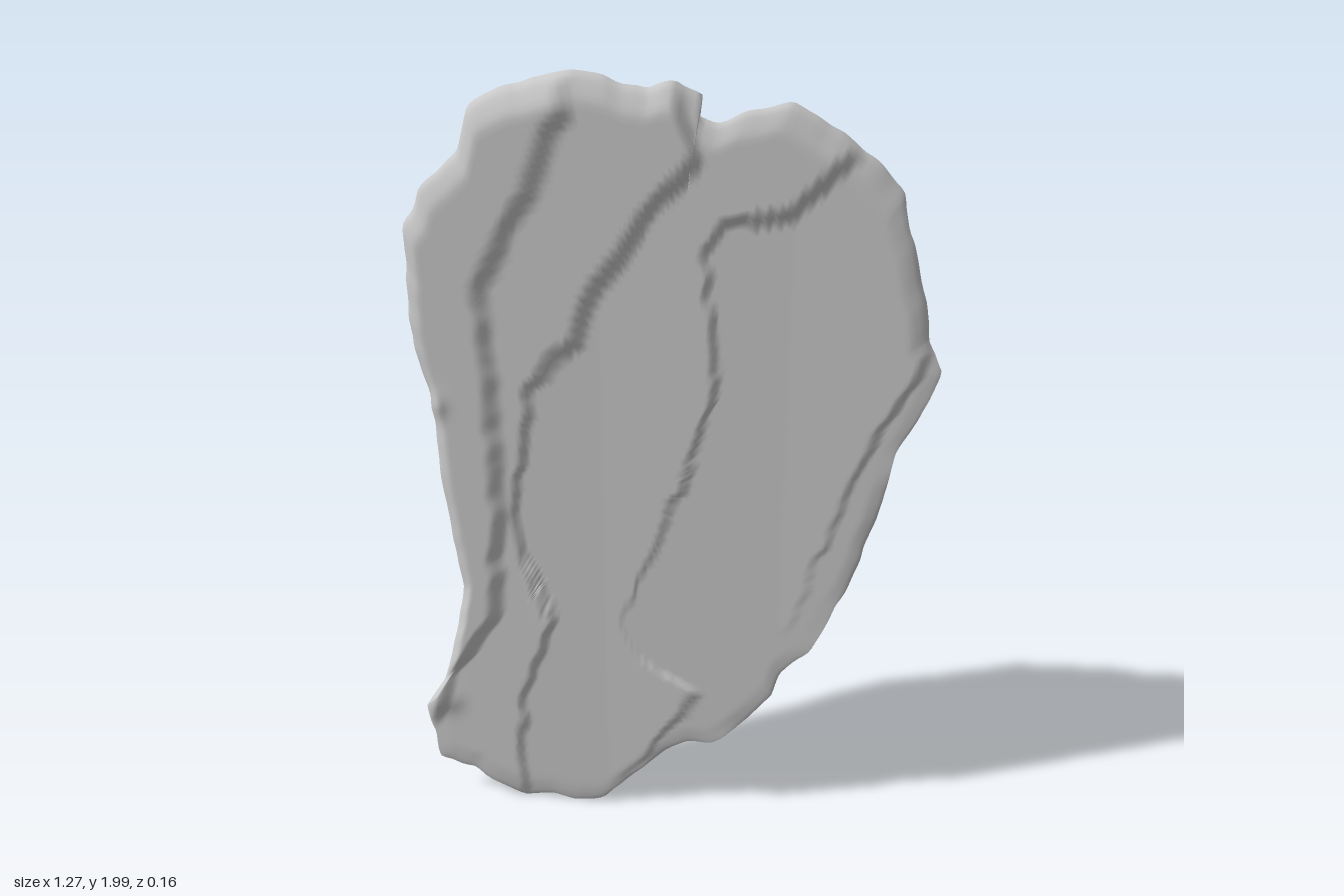
import * as THREE from 'three';

// Outline of the slab, counter-clockwise from the bottom (x, y)
const OUTLINE = [
  [-0.38, 0], [-0.3, 0.015], [-0.24, 0], [-0.16, 0.02], [-0.08, 0.1], [0, 0.19], [0.06, 0.23], [0.13, 0.23],
  [0.22, 0.31], [0.28, 0.4], [0.3, 0.47], [0.38, 0.56], [0.46, 0.75], [0.52, 0.95], [0.55, 1.12], [0.6, 1.22],
  [0.64, 1.34], [0.61, 1.41], [0.58, 1.55], [0.53, 1.75], [0.48, 1.81], [0.42, 1.86], [0.36, 1.91], [0.28, 1.95],
  [0.2, 1.93], [0.12, 1.9], [0.08, 1.91], [0.085, 1.955], [0.03, 1.99], [-0.03, 1.97], [-0.12, 1.99], [-0.2, 2],
  [-0.34, 1.97], [-0.43, 1.92], [-0.46, 1.82], [-0.55, 1.72], [-0.595, 1.62], [-0.595, 1.35], [-0.56, 1.2], [-0.545, 0.95],
  [-0.515, 0.67], [-0.555, 0.47], [-0.58, 0.38], [-0.64, 0.28], [-0.62, 0.2], [-0.61, 0.11], [-0.52, 0.09], [-0.46, 0.04],
];

// Front ledges: x of the step at each y, and how far the face drops there
const LEDGES = [
  { drop: 0.02, soft: 0.05, line: [[0, -0.7], [0.4, -0.56], [0.48, -0.49], [0.62, -0.43], [0.9, -0.4], [1.5, -0.41], [1.62, -0.35], [1.9, -0.22], [2, -0.2]] },
  { drop: 0.022, soft: 0.03, line: [[0, -0.38], [0.35, -0.36], [0.48, -0.31], [0.6, -0.28], [0.7, -0.32], [0.9, -0.36], [1.25, -0.31], [1.38, -0.2], [1.5, -0.15], [1.7, -0.02], [1.82, 0.08], [1.9, 0.05], [2, 0.02]] },
  { drop: 0.021, soft: 0.025, line: [[0, -0.2], [0.15, -0.06], [0.25, 0], [0.4, 0.1], [0.45, 0.02], [0.5, -0.06], [0.6, -0.1], [0.85, 0], [1.1, 0.08], [1.3, 0.13], [1.6, 0.1], [1.67, 0.13], [1.7, 0.29], [1.8, 0.38], [2, 0.6]] },
  { drop: 0.016, soft: 0.03, line: [[0, 0], [0.2, 0.1], [0.45, 0.28], [0.7, 0.35], [0.95, 0.43], [1.2, 0.52], [1.4, 0.62], [1.8, 0.53], [2, 0.5]] },
];

// Back relief: overall limit across the width, the slanted mound's section,
// the mound's sideways shift with height, and the deepest level at each height
const BACK_LIMIT = [[-0.64, 0.04], [-0.6, 0.03], [-0.5, 0.006], [-0.4, -0.024], [-0.33, -0.037], [-0.25, -0.07], [-0.2, -0.085], [0.14, -0.085], [0.23, -0.052], [0.5, -0.046], [0.64, -0.022]];
const MOUND = [[-0.65, 0.025], [-0.45, -0.01], [-0.3, -0.035], [-0.2, -0.055], [-0.12, -0.085], [0.11, -0.085], [0.2, -0.052], [0.5, -0.045], [0.7, -0.025]];
const MOUND_SHIFT = [[0, -0.25], [0.5, -0.1], [1.2, 0.04], [2, 0.1]];
const BACK_UP = [[0, 0.01], [0.1, -0.012], [0.2, -0.045], [0.5, -0.082], [1.2, -0.085], [1.28, -0.066], [1.45, -0.06], [1.53, -0.047], [1.75, -0.038], [1.9, -0.012], [2, 0.012]];

function lookup(table, t) {
  if (t <= table[0][0]) return table[0][1];
  for (let i = 1; i < table.length; i++) {
    const [a, va] = table[i - 1], [b, vb] = table[i];
    if (t <= b) return va + (vb - va) * (t - a) / (b - a);
  }
  return table[table.length - 1][1];
}

// Smooth repeatable value noise in -1..1
function hash(i, j) {
  const s = Math.sin(i * 127.1 + j * 311.7) * 43758.5453;
  return (s - Math.floor(s)) * 2 - 1;
}
function noise(x, y) {
  const i = Math.floor(x), j = Math.floor(y);
  const u = THREE.MathUtils.smoothstep(x - i, 0, 1), v = THREE.MathUtils.smoothstep(y - j, 0, 1);
  const { lerp } = THREE.MathUtils;
  return lerp(lerp(hash(i, j), hash(i + 1, j), u), lerp(hash(i, j + 1), hash(i + 1, j + 1), u), v);
}

const bump = (x, y, cx, cy, r) => Math.exp(-((x - cx) ** 2 + (y - cy) ** 2) / (r * r));
const rimZ = (x) => 0.012 - 0.048 * x;

function frontZ(x, y) {
  let z = 0.066;
  for (const { drop, soft, line } of LEDGES) {
    const edge = lookup(line, y) + 0.012 * noise(x * 6 + 9, y * 22);
    z -= drop * THREE.MathUtils.smoothstep(x, edge - soft / 2, edge + soft / 2);
  }
  z += 0.012 * bump(x, y, -0.57, 0.32, 0.035) + 0.015 * bump(x, y, -0.55, 1.2, 0.03);
  return Math.max(z, rimZ(x) + 0.005);
}

function backZ(x, y) {
  const wobble = 0.05 * noise(x * 6, y * 6 + 3) + 0.02 * noise(x * 16, y * 13);
  const mound = lookup(MOUND, x - lookup(MOUND_SHIFT, y) + wobble);
  let z = Math.max(mound, lookup(BACK_LIMIT, x), lookup(BACK_UP, y + 1.6 * wobble));
  z += 0.006 * noise(x * 10 + 4, y * 8) - 0.014 * bump(x, y, -0.14, 0.52, 0.06);
  // Break the slope into thin weathered layers
  const layer = 0.017, n = z / layer, base = Math.floor(n);
  const stepped = (base + THREE.MathUtils.smoothstep(n - base, 0.2, 0.8)) * layer;
  z = 0.55 * z + 0.45 * stepped + 0.002 * noise(x * 30, y * 18);
  return Math.max(-0.088, Math.min(z, rimZ(x) - 0.005));
}

// Evenly spaced rim points, chipped slightly inwards
function createRim(count, cx, cy) {
  const points = OUTLINE.map(([x, y]) => new THREE.Vector3(x, y, 0));
  const curve = new THREE.CatmullRomCurve3(points, true, 'catmullrom', 0.2);
  return curve.getSpacedPoints(count).slice(0, count).map((p) => {
    const chip = 1 - 0.007 * (1 + noise(p.x * 22, p.y * 22));
    return { x: cx + (p.x - cx) * chip, y: cy + (p.y - cy) * chip };
  });
}

function createSlabGeometry() {
  const around = 360, rings = 52, cx = -0.05, cy = 1;
  const rim = createRim(around, cx, cy);
  const positions = [], index = [];

  // Concentric rings for one face; the outermost ring closes on the rim
  const addFace = (zAt, front) => {
    const start = positions.length / 3;
    for (let k = 0; k <= rings; k++) {
      const s = 1 - (1 - k / rings) ** 1.25;
      const taper = THREE.MathUtils.clamp((1 - s) / 0.06, 0, 1) ** 0.6;
      for (const p of rim) {
        const x = cx + (p.x - cx) * s, y = cy + (p.y - cy) * s;
        const mid = rimZ(x) + 0.005 * noise(x * 12, y * 12);
        positions.push(x, y, mid + (zAt(x, y) - mid) * taper);
      }
    }
    for (let k = 0; k < rings; k++) {
      for (let i = 0; i < around; i++) {
        const j = (i + 1) % around;
        const a = start + k * around + i, b = a + around;
        const d = start + k * around + j, c = d + around;
        if (front) index.push(a, b, c, a, c, d);
        else index.push(a, c, b, a, d, c);
      }
    }
  };
  addFace(frontZ, true);
  addFace(backZ, false);

  const geometry = new THREE.BufferGeometry();
  geometry.setAttribute('position', new THREE.Float32BufferAttribute(positions, 3));
  geometry.setIndex(index);
  geometry.computeVertexNormals();
  return geometry;
}

export function createModel() {
  const group = new THREE.Group();
  group.name = 'layeredStone';
  const slab = new THREE.Mesh(createSlabGeometry(), new THREE.MeshStandardMaterial({ color: 0xcccccc }));
  slab.name = 'stoneSlab';
  group.add(slab);
  return group;
}
